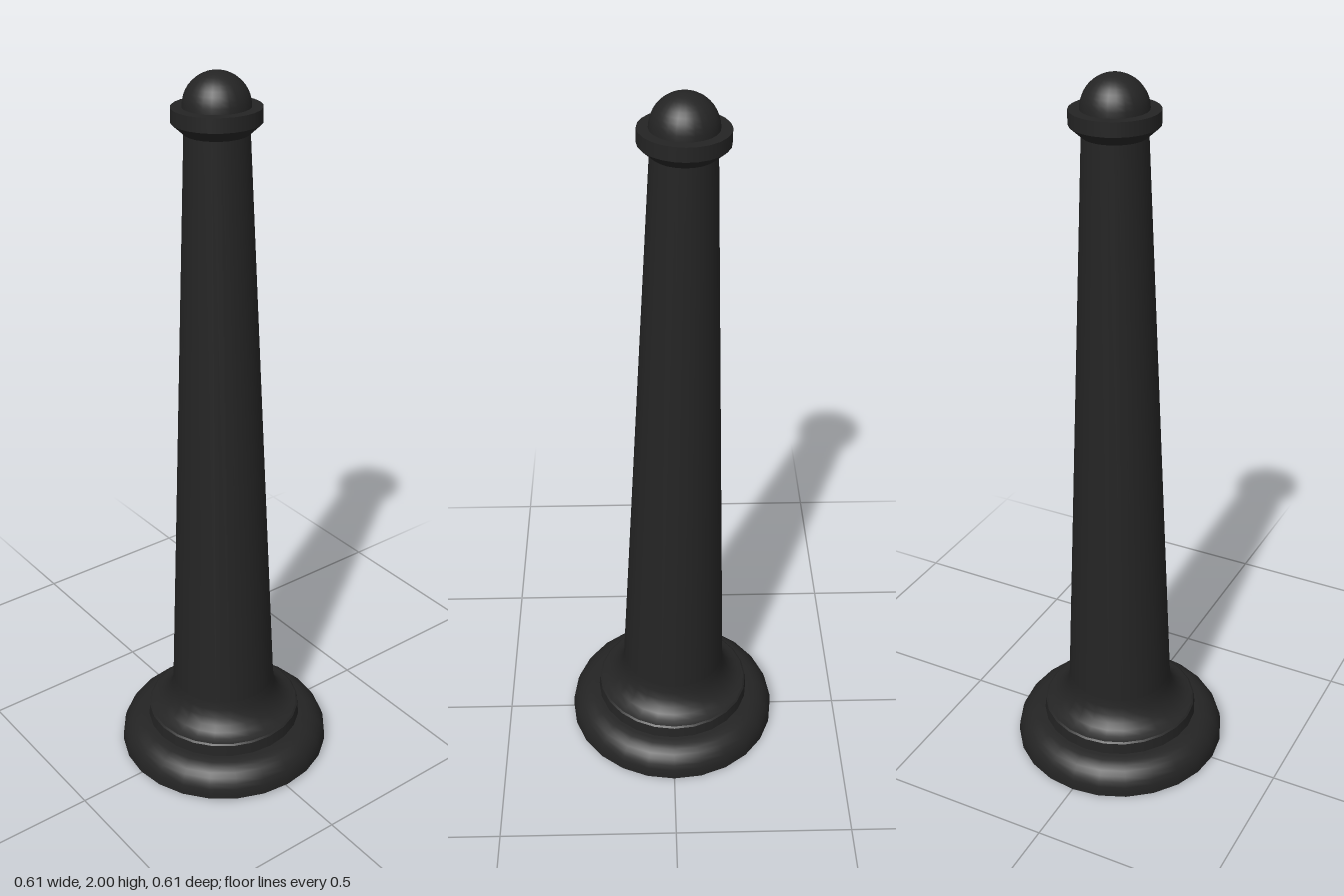
import * as THREE from 'three';

const SIDES = 24;
const TILT = 0.0152;

// Points on a quarter ellipse around (cx, cy), from angle a0 to a1
function arc(cx, cy, rx, ry, a0, a1, steps) {
  return Array.from({ length: steps + 1 }, (_, i) => {
    const a = a0 + (a1 - a0) * i / steps;
    return [Math.max(0, cx + rx * Math.cos(a)), cy + ry * Math.sin(a)];
  });
}

export function createModel() {
  const iron = new THREE.MeshStandardMaterial({ color: 0x242424, side: THREE.DoubleSide });
  iron.name = 'black iron';

  const model = new THREE.Group();
  model.name = 'bollard';
  const post = new THREE.Group();
  post.name = 'leaningPost';
  model.add(post);

  // Each part is an open shell, so the joints between parts stay crisp
  function turned(name, profile) {
    const points = profile.map(([r, y]) => new THREE.Vector2(r, y));
    const mesh = new THREE.Mesh(new THREE.LatheGeometry(points, SIDES), iron);
    mesh.name = name;
    post.add(mesh);
  }

  const H = Math.PI / 2;

  // Foot: rounded flange, hollow underneath
  turned('footFlange', [[0.305, 0], ...arc(0.235, 0.015, 0.07, 0.073, 0, H, 7)]);
  turned('flangeLedge', [[0.235, 0.088], [0.225, 0.089]]);
  turned('footStep', [[0.225, 0.089], [0.222, 0.122]]);
  turned('stepLedge', [[0.222, 0.122], [0.217, 0.126]]);

  // Concave sweep up into the tapering shaft
  turned('cove', arc(0.217, 0.221, 0.068, 0.095, 3 * H, 2 * H, 6));
  turned('shaft', [[0.149, 0.221], [0.083, 1.845]]);

  // Collar and domed cap
  turned('collarFlare', [[0.083, 1.845], [0.114, 1.873]]);
  turned('collarBand', [[0.114, 1.873], [0.114, 1.91]]);
  turned('collarTop', [[0.114, 1.91], [0.086, 1.91]]);
  turned('domeCap', arc(0, 1.91, 0.086, 0.0856, 0, H, 10));

  // The post leans slightly to one side, resting on the edge of its foot
  post.rotation.z = TILT;
  post.position.y = 0.305 * Math.sin(TILT);
  return model;
}
